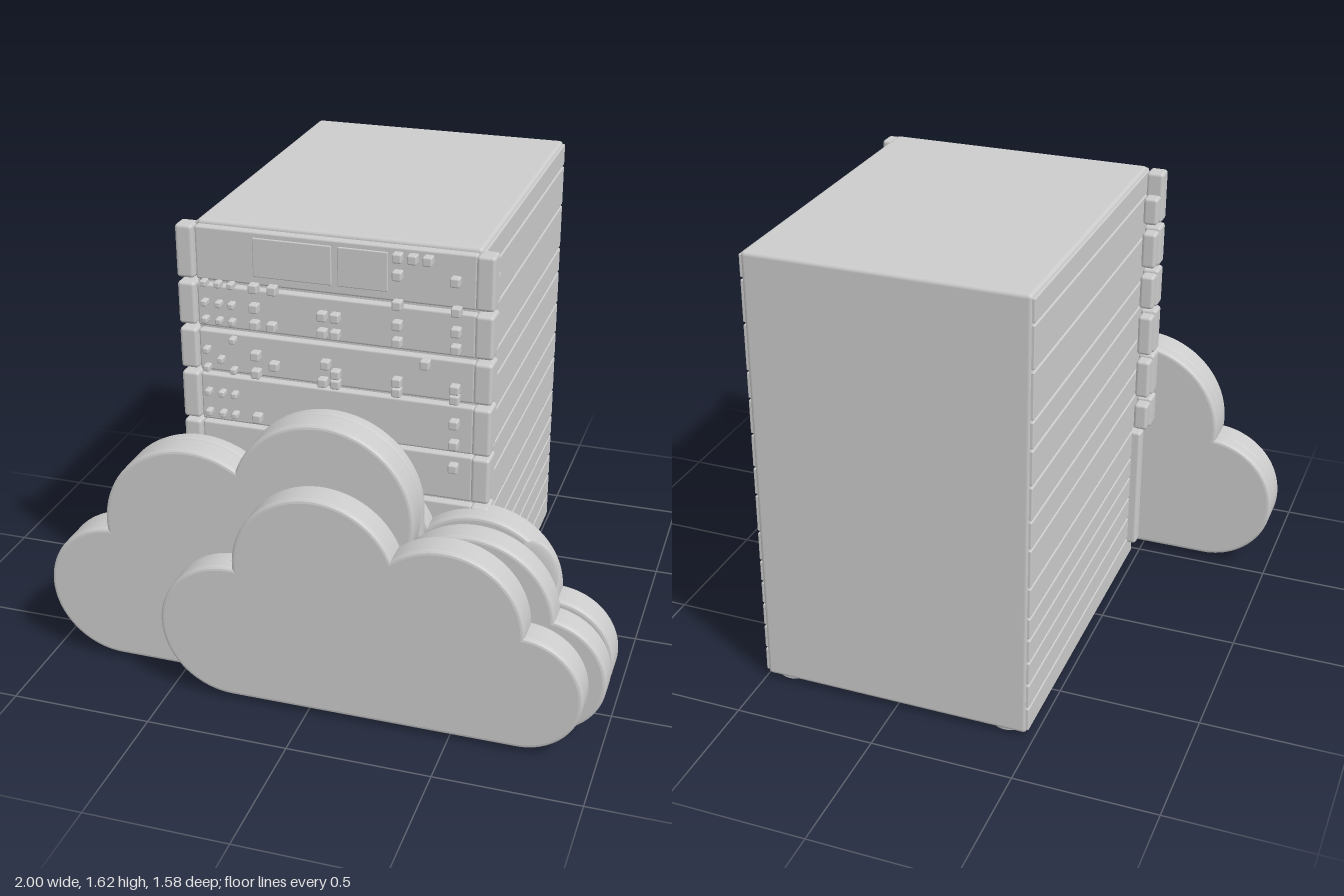
import * as THREE from 'three';
import { RoundedBoxGeometry } from 'three/addons/geometries/RoundedBoxGeometry.js';

const grey = new THREE.MeshStandardMaterial({ color: 0xcccccc });

function add(parent, name, geometry) {
  const mesh = new THREE.Mesh(geometry, grey);
  mesh.name = name;
  parent.add(mesh);
  return mesh;
}

// Rounded box given by its limits on each axis
function block(parent, name, [x0, x1], [y0, y1], [z0, z1], r = 0.01) {
  const g = new RoundedBoxGeometry(x1 - x0, y1 - y0, z1 - z0, 2, r);
  g.translate((x0 + x1) / 2, (y0 + y1) / 2, (z0 + z1) / 2);
  return add(parent, name, g);
}

// Upper crossing point of two neighbouring lobes [x, y, radius]
function crossing([x0, y0, r0], [x1, y1, r1]) {
  const dx = x1 - x0, dy = y1 - y0, d = Math.hypot(dx, dy);
  const a = (r0 * r0 - r1 * r1 + d * d) / (2 * d);
  const h = Math.sqrt(Math.max(0, r0 * r0 - a * a));
  return [x0 + (a * dx - h * dy) / d, y0 + (a * dy + h * dx) / d];
}

// Cloud outline: lobes from left to right over a flat base.
// With cutX the outline ends in a straight drop at that x.
function cloudShape(lobes, cutX) {
  const shape = new THREE.Shape();
  const angle = ([x, y], [px, py]) => Math.atan2(py - y, px - x);
  lobes.forEach((lobe, i) => {
    const first = i === 0, last = i === lobes.length - 1;
    let start = first ? -Math.PI / 2 : angle(lobe, crossing(lobes[i - 1], lobe));
    let end = last ? (cutX === undefined ? -Math.PI / 2 : 0) : angle(lobe, crossing(lobe, lobes[i + 1]));
    while (end > start) end -= 2 * Math.PI;
    shape.absarc(lobe[0], lobe[1], lobe[2], start, end, true);
  });
  if (cutX !== undefined) shape.lineTo(cutX, lobes[0][1] - lobes[0][2]);
  shape.closePath();
  return shape;
}

function cloud(parent, name, shape, z0, z1) {
  const b = 0.014;
  const g = new THREE.ExtrudeGeometry(shape, {
    depth: z1 - z0 - 2 * b, curveSegments: 28,
    bevelEnabled: true, bevelThickness: b, bevelSize: b, bevelOffset: -b, bevelSegments: 3,
  });
  g.translate(0, 0, z0 + b);
  return add(parent, name, g);
}

export function createModel() {
  const model = new THREE.Group();
  model.name = 'cloudServer';

  // Cabinet core
  const cabinet = new THREE.Group();
  cabinet.name = 'cabinet';
  model.add(cabinet);
  block(cabinet, 'cabinetBody', [-0.475, 0.493], [0.015, 1.62], [-0.79, 0.45], 0.015);

  // Side panels separated by thin horizontal grooves
  const seams = [0.025, 0.12, 0.215, 0.305, 0.395, 0.48, 0.595, 0.74, 0.845, 0.97, 1.1, 1.2, 1.37, 1.525, 1.612];
  for (let i = 0; i < seams.length - 1; i++) {
    for (const [x0, x1] of [[-0.482, -0.465], [0.483, 0.5]]) {
      block(cabinet, 'sidePanel', [x0, x1], [seams[i] + 0.004, seams[i + 1] - 0.004], [-0.785, 0.44], 0.004);
    }
  }

  // Feet
  for (const x of [-0.39, 0.42]) {
    for (const z of [0.37, -0.74]) {
      const foot = add(cabinet, 'foot', new THREE.CylinderGeometry(0.05, 0.045, 0.03, 20));
      foot.position.set(x, 0.015, z);
      foot.scale.z = 0.7;
    }
  }

  // Rack units with mounting ears on both sides
  const rack = new THREE.Group();
  rack.name = 'rackUnits';
  model.add(rack);
  const units = [[0.08, 0.24], [0.25, 0.41], [0.42, 0.59], [0.6, 0.72], [0.735, 0.9], [0.91, 1.08], [1.095, 1.24], [1.255, 1.405], [1.42, 1.605]];
  units.forEach(([y0, y1], i) => {
    block(rack, 'unitFace', [-0.472, 0.482], [y0, y1], [0.42, 0.476], 0.008);
    if (i < 3) return;
    for (const [x0, x1] of [[-0.54, -0.478], [0.478, 0.54]]) {
      block(rack, 'ear', [x0, x1], [y0, y1], [0.415, 0.482], 0.012);
      block(rack, 'earClip', [x0 + 0.005, x1 - 0.005], [y0 + 0.005, y1 - (i === 8 ? 0.08 : 0.012)], [0.372, 0.43], 0.012);
    }
  });
  for (const [x0, x1] of [[-0.515, -0.47], [0.48, 0.525]]) {
    block(rack, 'lowerRail', [x0, x1], [0.1, 0.59], [0.372, 0.425], 0.012);
  }

  // Raised plates on the top unit
  block(rack, 'displayPlate', [-0.27, 0.0], [1.45, 1.585], [0.46, 0.48], 0.004);
  block(rack, 'displayPlate', [0.02, 0.19], [1.45, 1.585], [0.46, 0.48], 0.004);

  // Buttons: each row has a height and a list of x positions
  const buttonRows = [
    [1.575, [0.225, 0.275, 0.325]],
    [1.515, [0.225, 0.415]],
    [1.415, [-0.44, -0.39, -0.345, -0.265, -0.2, 0.225, 0.42]],
    [1.345, [-0.44, -0.39, -0.345, -0.265, -0.03, 0.015, 0.225, 0.42]],
    [1.285, [-0.44, -0.39, -0.345, -0.265, -0.205, -0.03, 0.015, 0.225, 0.42]],
    [1.22, [-0.345, 0.32]],
    [1.175, [-0.44, -0.265, -0.02]],
    [1.145, [-0.39, -0.2, 0.015, 0.225, 0.42]],
    [1.11, [-0.44, -0.345, -0.265, -0.03, 0.015, 0.225, 0.42]],
    [1.02, [-0.44, -0.39, -0.345, 0.42]],
    [0.945, [-0.44, -0.39, -0.345, -0.265, 0.42]],
    [0.86, [0.42]],
  ];
  for (const [y, xs] of buttonRows) {
    for (const x of xs) {
      const s = x < -0.3 ? 0.011 : 0.016;
      block(rack, 'button', [x - s, x + s], [y - s, y + s], [0.465, 0.505], 0.006);
    }
  }

  // Clouds
  const clouds = new THREE.Group();
  clouds.name = 'clouds';
  model.add(clouds);
  const small = [[-0.275, 0.27, 0.255], [0.03, 0.54, 0.29], [0.47, 0.44, 0.275], [0.73, 0.23, 0.215]];
  const shifted = small.map(([x, y, r]) => [x + 0.053, y, r]);
  const bigLeft = [[-0.745, 0.275, 0.255], [-0.45, 0.56, 0.32], [0.02, 0.72, 0.32]];
  const big = [...bigLeft, [0.53, 0.425, 0.29], [0.78, 0.235, 0.22]];
  cloud(clouds, 'frontCloud', cloudShape(small), 0.68, 0.79);
  cloud(clouds, 'largeCloud', cloudShape(big), 0.575, 0.675);
  cloud(clouds, 'largeCloudBacking', cloudShape(bigLeft, 0.34), 0.53, 0.585);
  cloud(clouds, 'rearCloud', cloudShape(shifted), 0.425, 0.535);

  // Small spacer between the large and rear clouds
  const spacer = add(clouds, 'spacer', new THREE.SphereGeometry(1, 24, 16));
  spacer.scale.set(0.08, 0.12, 0.017);
  spacer.position.set(0.72, 0.55, 0.555);

  return model;
}
